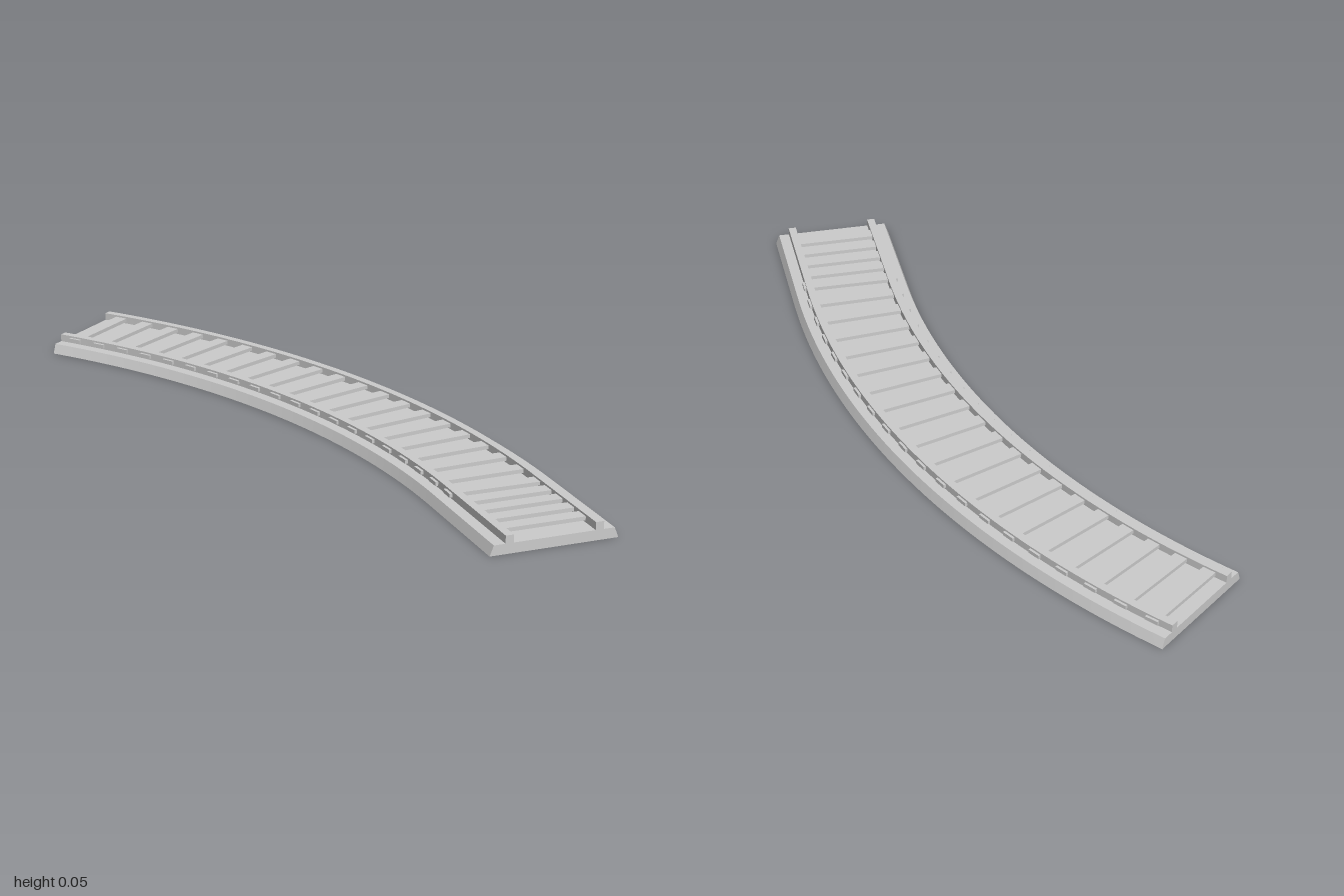
import * as THREE from 'three';
import { mergeVertices, toCreasedNormals } from 'three/addons/utils/BufferGeometryUtils.js';

const R = 2.415;          // centre line radius of the bend
const CX = 0.26;          // centre line x on the straight
const Z0 = 0.657;         // where the straight meets the bend
const TURN = THREE.MathUtils.degToRad(40);

// Point on the track: angle t along the bend, u across (outward), v up
const bendPoint = (t, u, v) => [CX - R + (R + u) * Math.cos(t), v, Z0 - (R + u) * Math.sin(t)];

// Sweep a counter-clockwise convex section [u, v] along the straight and the bend
function sweep(section, steps = 48) {
  const rings = [section.map(([u, v]) => [CX + u, v, 1])];
  for (let i = 0; i <= steps; i++) {
    rings.push(section.map(([u, v]) => bendPoint((TURN * i) / steps, u, v)));
  }
  const n = section.length;
  const pos = [];
  const tri = (a, b, c) => pos.push(...a, ...b, ...c);
  for (let k = 0; k < rings.length - 1; k++) {
    for (let i = 0; i < n; i++) {
      const j = (i + 1) % n;
      const [near, far] = [rings[k], rings[k + 1]];
      tri(near[i], far[i], near[j]);
      tri(near[j], far[i], far[j]);
    }
  }
  // End caps
  const last = rings[rings.length - 1];
  for (let i = 1; i < n - 1; i++) {
    tri(rings[0][0], rings[0][i], rings[0][i + 1]);
    tri(last[0], last[i + 1], last[i]);
  }
  const geo = new THREE.BufferGeometry();
  geo.setAttribute('position', new THREE.Float32BufferAttribute(pos, 3));
  return toCreasedNormals(mergeVertices(geo), 0.5);
}

export function createModel() {
  const model = new THREE.Group();
  model.name = 'curvedTrack';
  const material = new THREE.MeshStandardMaterial({ color: 0xcccccc });
  const add = (name, geometry, parent = model) => {
    const mesh = new THREE.Mesh(geometry, material);
    mesh.name = name;
    parent.add(mesh);
    return mesh;
  };

  // Track bed with sloping shoulders
  add('trackBed', sweep([[-0.165, 0], [0.165, 0], [0.155, 0.026], [-0.155, 0.026]]));

  // Two rails
  for (const [name, u] of [['innerRail', -0.115], ['outerRail', 0.116]]) {
    add(name, sweep([[u - 0.0105, 0.025], [u + 0.0105, 0.025], [u + 0.0105, 0.046], [u - 0.0105, 0.046]]));
  }

  // Sleepers: raised bars whose ends pass through the rails on the bend
  const sleepers = new THREE.Group();
  sleepers.name = 'sleepers';
  model.add(sleepers);
  const longBar = new THREE.BoxGeometry(0.266, 0.01, 0.036);
  const shortBar = new THREE.BoxGeometry(0.22, 0.01, 0.036);
  for (let k = 0; k < 20; k++) {
    const t = THREE.MathUtils.degToRad(-0.73 + 2.078 * k);
    const bar = add('bendSleeper', longBar, sleepers);
    bar.position.set(...bendPoint(t, 0, 0.036));
    bar.rotation.y = t;
  }
  for (let k = 0; k < 4; k++) {
    add('straightSleeper', shortBar, sleepers).position.set(CX, 0.036, 0.75 + 0.06 * k);
  }

  return model;
}
